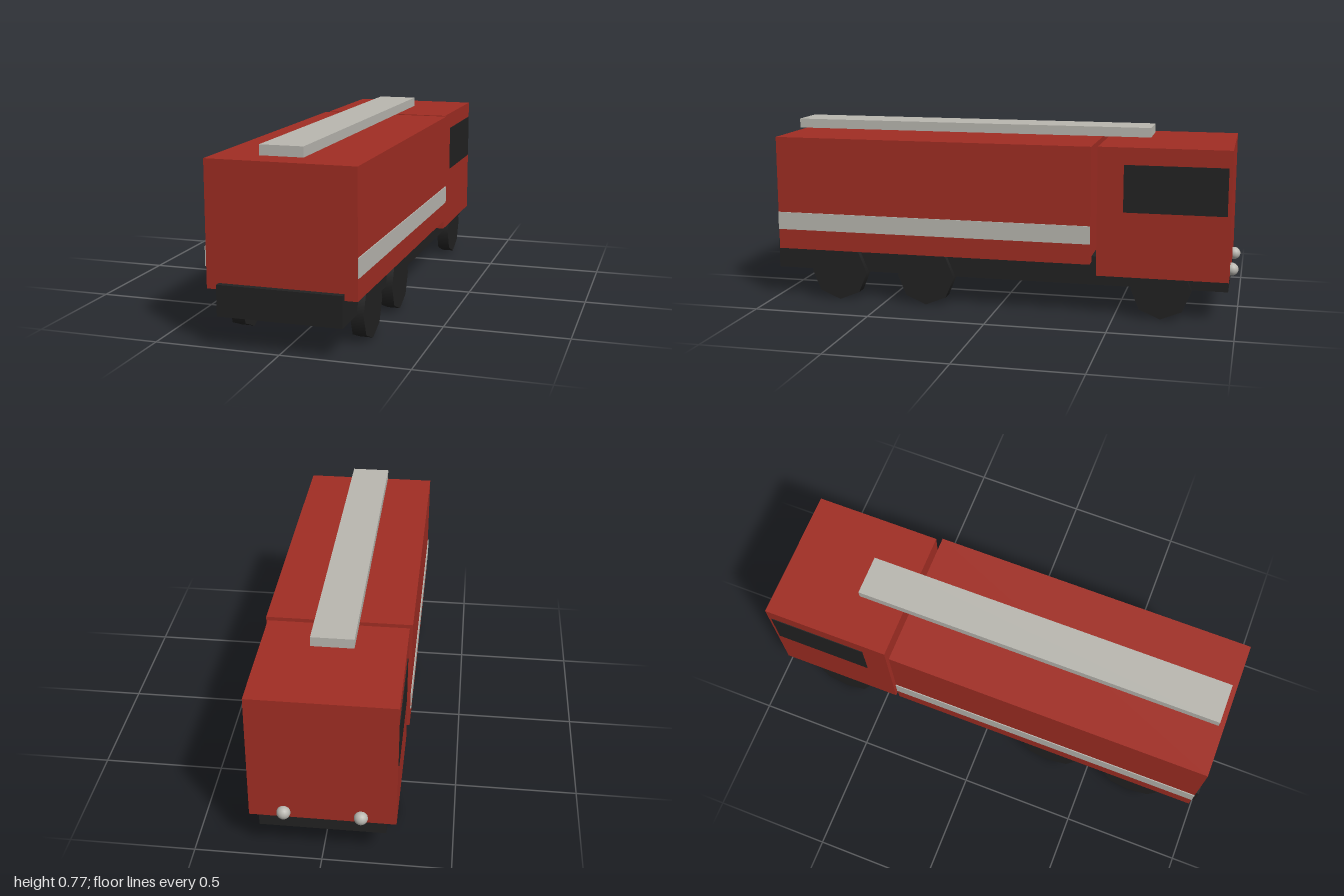
import * as THREE from 'three';

const material = (name, color) => {
  const m = new THREE.MeshStandardMaterial({ color });
  m.name = name;
  return m;
};

export function createModel() {
  const truck = new THREE.Group();
  truck.name = 'fireTruck';
  const red = material('red paint', 0xa02d23);
  const dark = material('dark rubber and glass', 0x222222);
  const silver = material('silver', 0xb9b7b0);

  const add = (name, geometry, mat, x, y, z) => {
    const mesh = new THREE.Mesh(geometry, mat);
    mesh.name = name;
    mesh.position.set(x, y, z);
    truck.add(mesh);
    return mesh;
  };
  // Box given by its limits on each axis
  const box = (name, mat, [x0, x1], [y0, y1], [z0, z1]) =>
    add(name, new THREE.BoxGeometry(x1 - x0, y1 - y0, z1 - z0), mat,
      (x0 + x1) / 2, (y0 + y1) / 2, (z0 + z1) / 2);

  // Main blocks; the cab is at the -z end
  box('chassis', dark, [-0.245, 0.245], [0.125, 0.247], [-0.964, 1]);
  box('body', red, [-0.294, 0.294], [0.222, 0.713], [-0.4, 0.975]);
  box('cab', red, [-0.283, 0.283], [0.174, 0.713], [-0.966, -0.425]);
  box('roofLadder', silver, [-0.085, 0.085], [0.73, 0.77], [-0.62, 0.95]);

  const wheel = new THREE.CylinderGeometry(0.125, 0.125, 0.054, 8).rotateZ(Math.PI / 2);
  const lamp = new THREE.SphereGeometry(0.027, 16, 12);

  for (const [side, s] of [['left', 1], ['right', -1]]) {
    // Thin plates on the flanks
    const plate = (name, mat, x, ys, zs) =>
      box(name, mat, [s * x - 0.002, s * x + 0.002], ys, zs);
    plate(`${side}Stripe`, silver, 0.296, [0.308, 0.384], [-0.4, 0.975]);
    plate(`${side}Window`, dark, 0.284, [0.446, 0.642], [-0.952, -0.533]);

    // Three axles
    [0.708, 0.315, -0.693].forEach((z, i) =>
      add(`${side}Wheel${i + 1}`, wheel, dark, s * 0.245, 0.125, z));

    add(`${side}Headlight`, lamp, silver, s * 0.148, 0.2, -0.973);
  }
  return truck;
}
